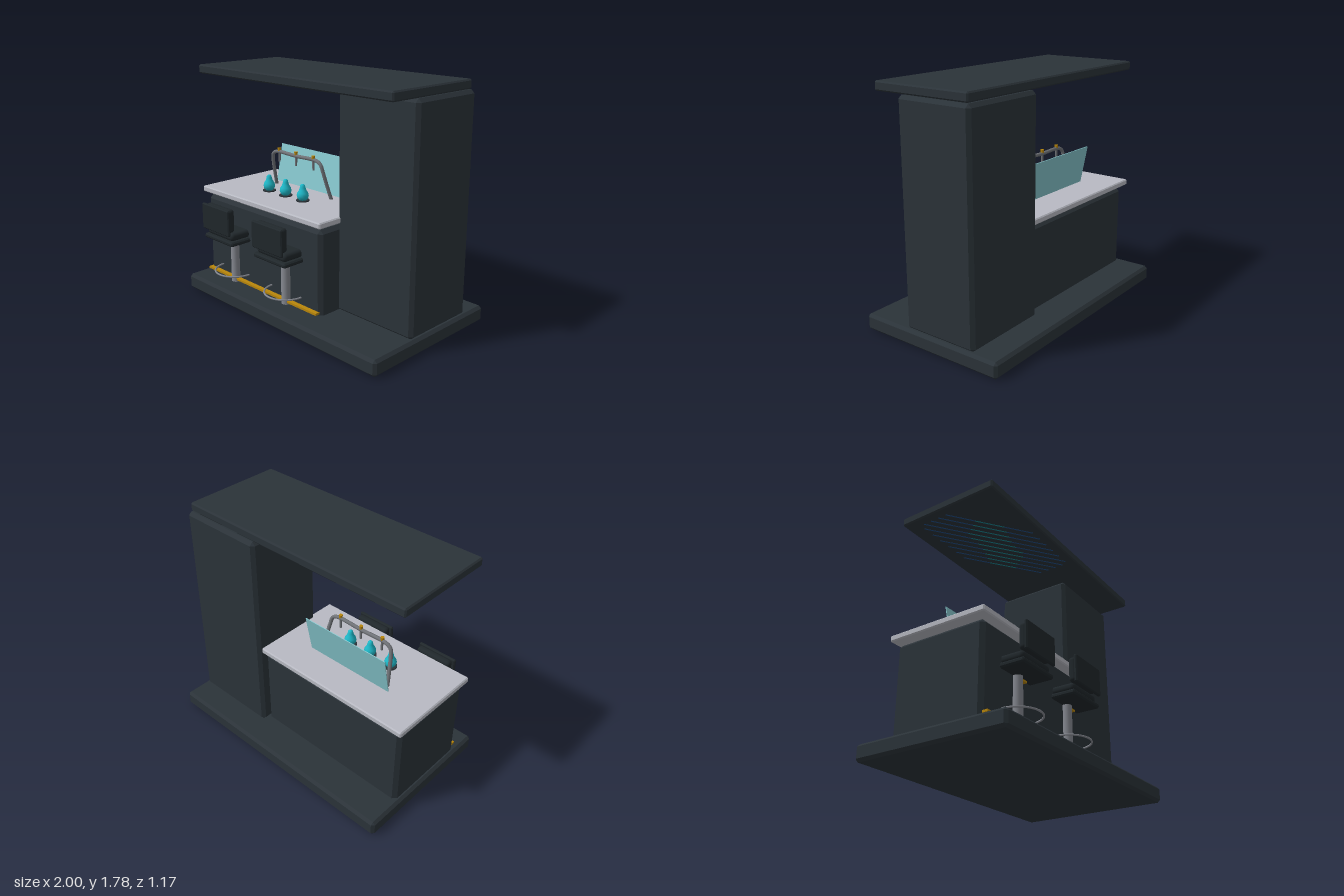
import * as THREE from 'three';
import { ConvexGeometry } from 'three/addons/geometries/ConvexGeometry.js';
import { RoundedBoxGeometry } from 'three/addons/geometries/RoundedBoxGeometry.js';

const material = (name, color, extra = {}) => {
  const m = new THREE.MeshStandardMaterial({ color, ...extra });
  m.name = name;
  return m;
};

export function createModel() {
  const body = material('charcoal', 0x2b3339);
  const padding = material('black upholstery', 0x20272b);
  const stone = material('pale grey stone', 0xb8bac3);
  const steel = material('steel', 0x858890);
  const pipe = material('dark steel', 0x707378);
  const gold = material('gold', 0xb8860b);
  const cyan = material('cyan glaze', 0x1fb9c9);
  const glass = material('pale teal glass', 0x86c6cd, { side: THREE.DoubleSide });
  const blue = material('blue light', 0x1f4a80);
  const teal = material('teal light', 0x17808c);

  const model = new THREE.Group();
  const add = (parent, name, geometry, mat, x = 0, y = 0, z = 0) => {
    const mesh = new THREE.Mesh(geometry, mat);
    mesh.name = name;
    mesh.position.set(x, y, z);
    parent.add(mesh);
    return mesh;
  };

  // Box given by its limits, with every edge chamfered
  const chamferBox = (parent, name, mat, [x0, x1], [y0, y1], [z0, z1], c) => {
    const a = (x1 - x0) / 2, b = (y1 - y0) / 2, d = (z1 - z0) / 2;
    const points = [];
    for (const i of [-1, 1]) for (const j of [-1, 1]) for (const k of [-1, 1]) {
      points.push(
        new THREE.Vector3(i * a, j * (b - c), k * (d - c)),
        new THREE.Vector3(i * (a - c), j * b, k * (d - c)),
        new THREE.Vector3(i * (a - c), j * (b - c), k * d));
    }
    return add(parent, name, new ConvexGeometry(points), mat, (x0 + x1) / 2, (y0 + y1) / 2, (z0 + z1) / 2);
  };

  // Main structure
  chamferBox(model, 'base', body, [-1, 1], [0, 0.12], [-0.585, 0.585], 0.02);
  chamferBox(model, 'tower', body, [0.295, 0.98], [0.11, 1.71], [-0.385, 0.21], 0.025);
  chamferBox(model, 'roof', body, [-0.965, 0.96], [1.712, 1.778], [-0.36, 0.425], 0.01);
  chamferBox(model, 'cabinet', body, [-0.97, 0.31], [0.09, 0.752], [-0.315, 0.385], 0.028);
  chamferBox(model, 'countertop', stone, [-1, 0.33], [0.775, 0.82], [-0.355, 0.412], 0.008);
  add(model, 'kickStrip', new THREE.BoxGeometry(1.25, 0.016, 0.04), gold, -0.33, 0.142, 0.4);

  // Leaning glass screen
  const screen = add(model, 'glassScreen', new THREE.BoxGeometry(0.72, 0.3, 0.006), glass, -0.33, 0.977, -0.13);
  screen.rotation.x = -0.2;

  // Tap arch, leaning forward
  const half = [[-0.31, 0.815, -0.05], [-0.295, 0.92, -0.02], [-0.28, 1.03, 0.008], [-0.265, 1.085, 0.018], [-0.225, 1.108, 0.02]];
  const archPoints = [...half, [0, 1.108, 0.02], ...half.map(([x, y, z]) => [-x, y, z]).reverse()]
    .map(([x, y, z]) => new THREE.Vector3(x - 0.33, y, z));
  add(model, 'tapArch', new THREE.TubeGeometry(new THREE.CatmullRomCurve3(archPoints), 64, 0.014, 10), pipe);

  // Taps with vessels standing below them
  const vesselProfile = [[0, 0], [0.028, 0], [0.04, 0.015], [0.045, 0.035], [0.04, 0.055], [0.027, 0.075],
    [0.021, 0.095], [0.018, 0.11], [0.01, 0.119], [0, 0.122]].map(([r, y]) => new THREE.Vector2(r, y));
  for (const x of [-0.52, -0.33, -0.14]) {
    add(model, 'tapKnob', new THREE.CylinderGeometry(0.014, 0.012, 0.034, 12), gold, x, 1.125, 0.02);
    add(model, 'tapNozzle', new THREE.CylinderGeometry(0.01, 0.008, 0.075, 10), pipe, x, 1.07, 0.02);
    add(model, 'coaster', new THREE.CylinderGeometry(0.05, 0.05, 0.008, 20), body, x, 0.824, 0.13);
    add(model, 'vessel', new THREE.LatheGeometry(vesselProfile, 24), cyan, x, 0.828, 0.13);
  }

  // Bar stools
  for (const x of [-0.625, -0.035]) {
    const stool = new THREE.Group();
    stool.name = 'stool';
    stool.position.x = x;
    model.add(stool);
    add(stool, 'post', new THREE.CylinderGeometry(0.034, 0.036, 0.37, 18), steel, 0, 0.3, 0.4);
    const ring = add(stool, 'footrest', new THREE.TorusGeometry(0.16, 0.007, 8, 32, Math.PI), steel, 0, 0.213, 0.4);
    ring.rotation.x = Math.PI / 2;
    chamferBox(stool, 'seatPlate', padding, [-0.17, 0.17], [0.477, 0.512], [0.25, 0.56], 0.01);
    add(stool, 'seatCushion', new RoundedBoxGeometry(0.31, 0.06, 0.28, 3, 0.028), padding, 0, 0.54, 0.405);
    chamferBox(stool, 'backrestShell', padding, [-0.162, 0.162], [0.56, 0.762], [0.555, 0.58], 0.008);
    add(stool, 'backrestCushion', new RoundedBoxGeometry(0.29, 0.18, 0.06, 3, 0.025), padding, 0, 0.668, 0.53);
    add(stool, 'heightLever', new THREE.BoxGeometry(0.045, 0.014, 0.035), gold, 0.055, 0.462, 0.4);
  }

  // Slim diagonal light strips under the roof, teal in the middle and blue at the ends
  const slope = 0.73;
  for (let k = 0; k < 10; k++) {
    const offset = 0.05 + 0.065 * k;
    const x0 = Math.max(-0.9, (-0.25 - offset) / slope);
    const x1 = Math.min(0.1, (0.36 - offset) / slope);
    const part = (x1 - x0) / 3;
    [blue, teal, blue].forEach((mat, i) => {
      const x = x0 + part * (i + 0.5);
      const strip = add(model, 'roofLight', new THREE.BoxGeometry(part * Math.hypot(1, slope), 0.004, 0.008),
        mat, x, 1.711, slope * x + offset);
      strip.rotation.y = -Math.atan(slope);
    });
  }
  return model;
}
